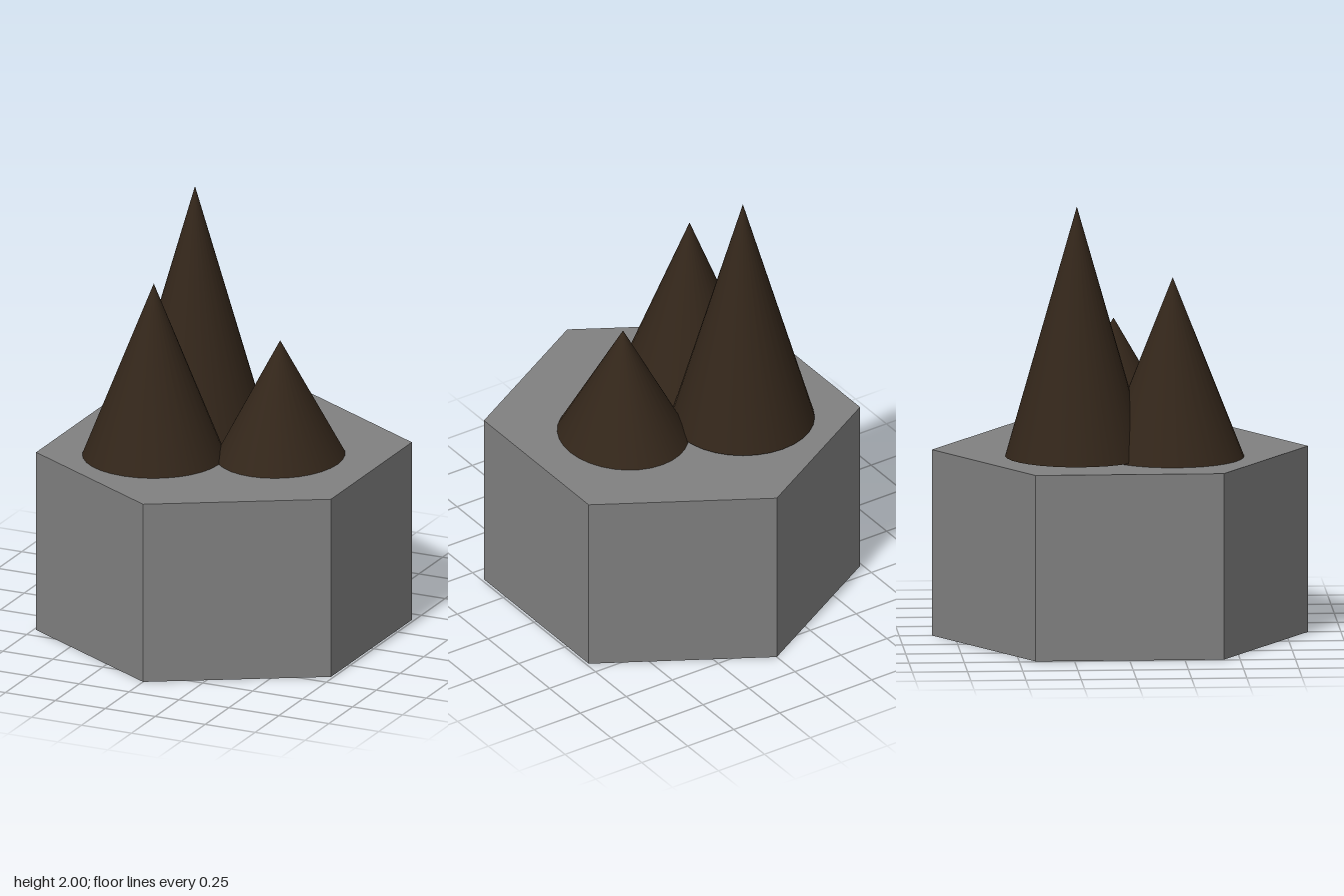
import * as THREE from 'three';

const BASE_HEIGHT = 0.852;

export function createModel() {
  const model = new THREE.Group();
  model.name = 'spikedHexBlock';

  const stone = new THREE.MeshStandardMaterial({ color: 0x808080, flatShading: true });
  const brown = new THREE.MeshStandardMaterial({ color: 0x33261a });

  // Hexagonal block with corners pointing to the front and back
  const block = new THREE.Mesh(new THREE.CylinderGeometry(0.852, 0.852, BASE_HEIGHT, 6), stone);
  block.name = 'hexBlock';
  block.position.y = BASE_HEIGHT / 2;
  model.add(block);

  // Cone spikes standing on the block, from bottom to apex
  function addSpike(name, x, z, radiusX, radiusZ, bottom, apex) {
    const height = apex - bottom;
    const spike = new THREE.Mesh(new THREE.ConeGeometry(1, height, 32), brown);
    spike.name = name;
    spike.scale.set(radiusX, 1, radiusZ);
    spike.position.set(x, bottom + height / 2, z);
    model.add(spike);
  }
  addSpike('tallSpike', -0.245, -0.21, 0.325, 0.325, 0.859, 2);
  addSpike('middleSpike', -0.245, 0.224, 0.325, 0.325, 0.848, 1.672);
  addSpike('shortSpike', 0.275, -0.013, 0.29, 0.322, 0.848, 1.403);

  return model;
}
